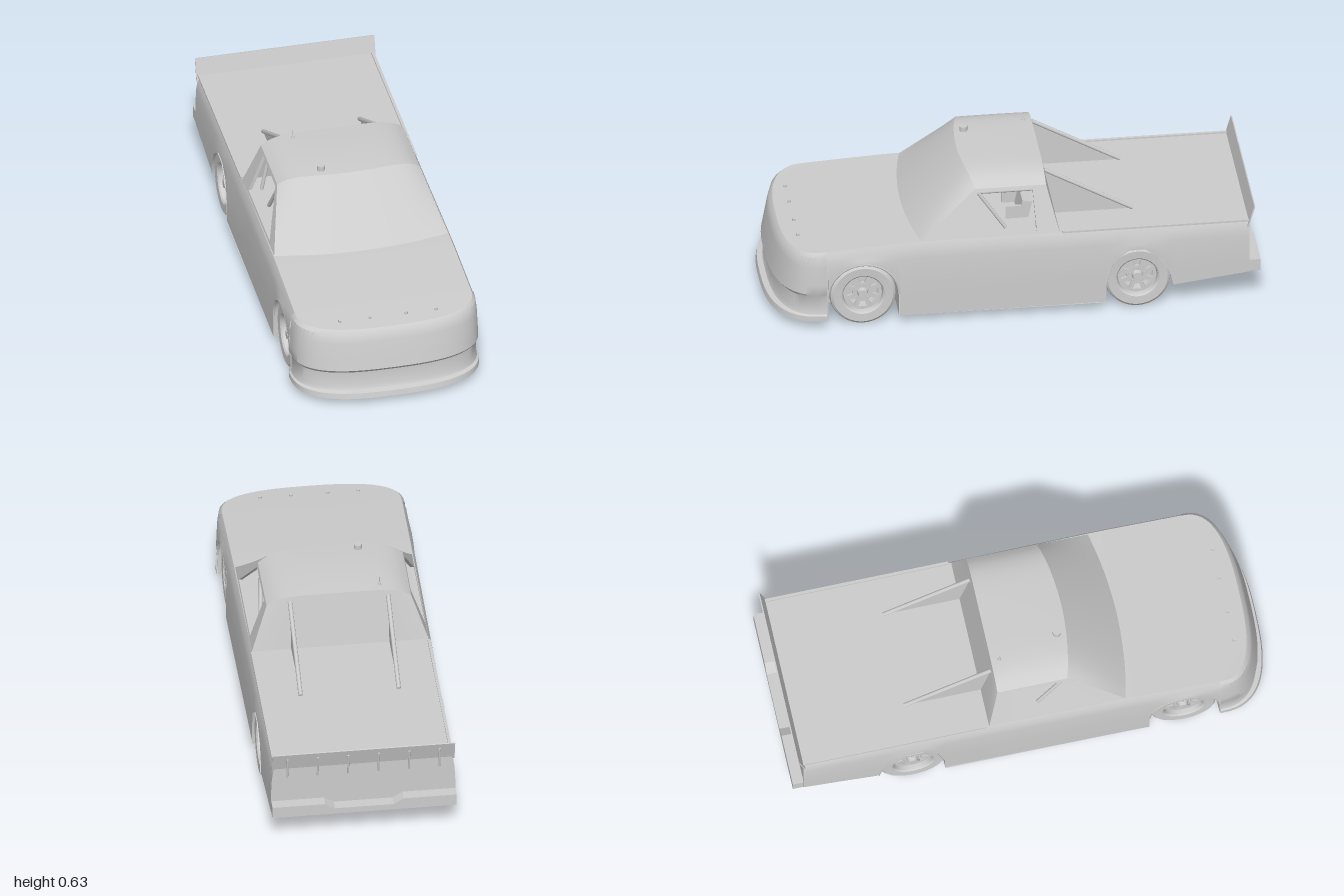
import * as THREE from 'three';
import { toCreasedNormals } from 'three/addons/utils/BufferGeometryUtils.js';

const paint = new THREE.MeshStandardMaterial({ color: 0xcccccc, side: THREE.DoubleSide });
paint.name = 'light grey';
const lerp = THREE.MathUtils.lerp;
const range = (n, a = 0, b = 1) => Array.from({ length: n + 1 }, (_, i) => lerp(a, b, i / n));

function add(parent, name, geometry, x = 0, y = 0, z = 0) {
  const mesh = new THREE.Mesh(geometry, paint);
  mesh.name = name;
  mesh.position.set(x, y, z);
  parent.add(mesh);
  return mesh;
}

// Surface through rows of [x, y, z] points
function grid(rows, crease = 0.6) {
  const n = rows[0].length, index = [];
  for (let i = 0; i < rows.length - 1; i++)
    for (let j = 0; j < n - 1; j++) {
      const a = i * n + j, b = a + n;
      index.push(a, b, a + 1, b, b + 1, a + 1);
    }
  const g = new THREE.BufferGeometry();
  g.setAttribute('position', new THREE.Float32BufferAttribute(rows.flat(2), 3));
  g.setIndex(index);
  return toCreasedNormals(g, crease);
}

function bar(parent, name, a, b, r) {
  const A = new THREE.Vector3(...a), B = new THREE.Vector3(...b);
  const m = add(parent, name, new THREE.CylinderGeometry(r, r, A.distanceTo(B), 8));
  m.position.copy(A).lerp(B, 0.5);
  m.quaternion.setFromUnitVectors(new THREE.Vector3(0, 1, 0), B.sub(A).normalize());
}

const polygon = pts => new THREE.Shape(pts.map(p => new THREE.Vector2(...p)));

// Wheel arch outlines as [z, y], from back to front
const NOSE = 0.77;
const rearArch = [[-0.645, 0.098], [-0.635, 0.14], [-0.6, 0.22], [-0.53, 0.272], [-0.46, 0.27], [-0.4, 0.22], [-0.372, 0.12], [-0.37, 0.04]];
const frontArch = range(20, Math.PI, 0).map(a => [0.62 + 0.145 * Math.cos(a), 0.14 + 0.145 * Math.sin(a)]);
frontArch.unshift([0.475, 0.04]);
frontArch.push([0.765, 0.04]);

function buildBody(g) {
  // Side and deck skin, lofted along z
  const stations = [[-0.955, 0.137], ...rearArch, [0, 0.04], [0.4, 0.04], ...frontArch, [NOSE, 0.04]];
  const section = (z, yb) => {
    const w = lerp(0.376, 0.388, (z + 0.955) / 1.725);
    const yt = z < 0.42 ? 0.365 : lerp(0.365, 0.345, (z - 0.42) / 0.35);
    const half = [[w, yb], [w, lerp(yb, 0.3, 0.5)], [w * 0.99, 0.3], [w * 0.975, yt - 0.025], [w * 0.945, yt], [w * 0.5, yt]];
    return [...half, ...half.slice().reverse().map(([x, y]) => [-x, y])].map(([x, y]) => [x, y, z]);
  };
  add(g, 'bodySkin', grid(stations.map(s => section(...s))));

  // Rounded nose: profile rows of [half width, y, front z] swept around the corners
  const profile = [[0.366, 0.33, 0.93], [0.378, 0.316, 0.945], [0.384, 0.28, 0.955], [0.387, 0.2, 0.97], [0.388, 0.16, 0.978],
    [0.38, 0.145, 0.965], [0.38, 0.08, 0.965], [0.383, 0.065, 0.972], [0.39, 0.06, 0.995], [0.39, 0.037, 1]];
  const angles = range(32, -Math.PI / 2, Math.PI / 2);
  const sweep = ([w, y, zf]) => angles.map(a => {
    const s = Math.sin(a), c = Math.max(0, Math.cos(a));
    return [w * Math.sign(s) * Math.abs(s) ** 0.75, y > 0.3 ? y + 0.015 * (1 - c) : y, NOSE + (zf - NOSE) * c ** 0.75];
  });
  add(g, 'noseFascia', grid(profile.map(sweep)));
  const fill = (rim, y) => grid(range(4).map(v => rim.map(p => [p[0], lerp(y, p[1], v), lerp(NOSE, p[2], v)])));
  add(g, 'hoodFront', fill(sweep(profile[0]), 0.345));
  add(g, 'frontSplitter', fill(sweep(profile.at(-1)), 0.037));

  // Floor, with gaps for the wheels
  const floor = (name, pts, w0, w1) => add(g, name, grid(pts.map(([z, y]) => [[w0, y, z], [w1, y, z]])));
  floor('centreFloor', [[NOSE, 0.038], [-0.37, 0.038], [-0.645, 0.098], [-0.955, 0.137]], -0.24, 0.24);
  for (const s of [-1, 1]) {
    floor('sideFloor', [[0.475, 0.039], [-0.37, 0.039]], s * 0.24, s * 0.384);
    floor('rearFloor', [[-0.645, 0.098], [-0.955, 0.137]], s * 0.24, s * 0.377);
    // Wheel wells
    for (const arch of [rearArch, frontArch]) {
      add(g, 'wheelWell', grid(arch.map(([z, y]) => [[s * 0.24, y, z], [s * 0.383, y, z]])));
      add(g, 'wheelWellWall', grid(arch.map(([z, y]) => [[s * 0.24, 0.038, z], [s * 0.24, y, z]])));
    }
    // Raised lip around the front arch
    const lip = new THREE.CatmullRomCurve3(frontArch.slice(1, -1).map(([z, y]) => new THREE.Vector3(s * 0.384, y, z)));
    add(g, 'archLip', new THREE.TubeGeometry(lip, 24, 0.005, 6));
    // Bed rail
    add(g, 'bedRail', new THREE.BoxGeometry(0.012, 0.008, 0.76), s * 0.36, 0.367, -0.575);
  }
  // Tailgate and rear bumper with a dipped centre
  const tail = section(-0.955, 0.137).map(([x, y]) => [x, y]);
  add(g, 'tailgate', new THREE.ShapeGeometry(polygon(tail)), 0, 0, -0.955);
  const bumper = polygon([[-0.375, 0.138], [0.375, 0.138], [0.375, 0.19], [0.16, 0.19], [0.12, 0.165], [-0.12, 0.165], [-0.16, 0.19], [-0.375, 0.19]]);
  add(g, 'rearBumper', new THREE.ExtrudeGeometry(bumper, { depth: 0.045, bevelEnabled: false }), 0, 0, -1);
  // Spoiler and its braces
  const spoiler = add(g, 'spoiler', new THREE.BoxGeometry(0.745, 0.1, 0.005), 0, 0.388, -0.963);
  spoiler.rotation.x = -0.28;
  for (const x of range(5, -0.31, 0.31)) bar(g, 'spoilerBrace', [x, 0.31, -0.959], [x, 0.41, -0.975], 0.004);
  // Hood pins
  for (const x of [-0.2, -0.075, 0.075, 0.2]) add(g, 'hoodPin', new THREE.CylinderGeometry(0.007, 0.007, 0.01, 10), x, 0.34, 0.865);
}

function buildCab(g) {
  const us = range(28, -1, 1), edge = u => 0.595 - 0.04 * u ** 6;
  // Windscreen, roof and back panel
  add(g, 'windscreen', grid(range(6).map(v => us.map(u =>
    [u * lerp(0.362, 0.295, v), lerp(0.358, edge(u), v), lerp(0.43, 0.195, v) - 0.04 * u * u]))));
  add(g, 'roof', grid(range(8).map(v => us.map(u =>
    [u * 0.295, edge(u) + 0.006 * Math.sin(Math.PI * v) * (1 - u * u), lerp(0.195 - 0.04 * u * u, -0.135, v)]))));
  add(g, 'backPanel', grid(range(6).map(v => us.map(u =>
    [u * lerp(0.295, 0.362, v), lerp(edge(u), 0.36, v), lerp(-0.135, -0.185, v)]))));

  for (const s of [-1, 1]) {
    // Side frame with an open window, leaning inwards
    const frame = polygon([[0.39, 0.358], [0.155, 0.555], [-0.135, 0.555], [-0.185, 0.358]]);
    frame.holes.push(polygon([[0.285, 0.375], [0.145, 0.54], [-0.08, 0.543], [-0.09, 0.375]]));
    const side = new THREE.ExtrudeGeometry(frame, { depth: 0.015, bevelEnabled: false });
    const p = side.attributes.position;
    for (let i = 0; i < p.count; i++) {
      const z = p.getX(i), y = p.getY(i);
      p.setXYZ(i, s * (lerp(0.362, 0.295, (y - 0.36) / 0.195) - p.getZ(i)), y, z);
    }
    side.computeVertexNormals();
    add(g, 'cabSide', side);
    // Roll cage
    bar(g, 'cageDoorBar', [s * 0.285, 0.53, 0.14], [s * 0.3, 0.37, 0.03], 0.008);
    bar(g, 'cageRoofBar', [s * 0.27, 0.525, 0.16], [s * 0.27, 0.525, -0.1], 0.008);
    bar(g, 'cagePost', [s * 0.27, 0.525, -0.1], [s * 0.3, 0.365, -0.1], 0.008);
    // Fin and strut behind the cab
    const fin = polygon([[-0.14, 0.57], [-0.5, 0.366], [-0.17, 0.366]]);
    const plate = add(g, 'rearFin', new THREE.ShapeGeometry(fin), s * 0.2);
    plate.rotation.y = -Math.PI / 2;
    bar(g, 'rearStrut', [s * 0.2, 0.57, -0.14], [s * 0.2, 0.368, -0.5], 0.009);
  }
  bar(g, 'cageCrossBar', [-0.27, 0.525, -0.1], [0.27, 0.525, -0.1], 0.008);
  // Driver's seat
  add(g, 'seatBack', new THREE.BoxGeometry(0.14, 0.08, 0.04), 0.15, 0.4, -0.06).rotation.x = -0.2;
  for (const x of [0.085, 0.215]) add(g, 'seatWing', new THREE.BoxGeometry(0.012, 0.06, 0.08), x, 0.39, -0.02);
  // Roof vent and aerial
  add(g, 'roofVent', new THREE.CylinderGeometry(0.016, 0.016, 0.025, 16), -0.112, 0.605, 0.15);
  add(g, 'aerialBase', new THREE.CylinderGeometry(0.004, 0.008, 0.012, 8), -0.17, 0.6, -0.1);
  add(g, 'aerial', new THREE.CylinderGeometry(0.001, 0.001, 0.035, 5), -0.17, 0.615, -0.1);
}

function buildWheel(parent, side, z) {
  const w = new THREE.Group();
  w.name = z > 0 ? 'frontWheel' : 'rearWheel';
  const turn = g => g.rotateZ(-Math.PI / 2);
  const tyre = [[0.08, -0.06], [0.122, -0.062], [0.132, -0.054], [0.136, -0.04], [0.136, 0.04], [0.132, 0.054], [0.122, 0.062],
    [0.088, 0.06], [0.082, 0.054], [0.078, 0.03], [0.076, -0.06]].map(p => new THREE.Vector2(...p));
  add(w, 'tyre', toCreasedNormals(turn(new THREE.LatheGeometry(tyre, 40)), 0.6));
  // Rim with eight openings
  const disc = new THREE.Shape().absarc(0, 0, 0.079, 0, Math.PI * 2);
  for (let i = 0; i < 8; i++) {
    const a = i * Math.PI / 4, at = (r, d) => [r * Math.cos(a + d), r * Math.sin(a + d)];
    disc.holes.push(polygon([at(0.042, -0.2), at(0.068, -0.26), at(0.068, 0.26), at(0.042, 0.2)]));
  }
  const rim = new THREE.ExtrudeGeometry(disc, { depth: 0.012, bevelEnabled: false, curveSegments: 32 });
  add(w, 'rim', rim.rotateY(Math.PI / 2), 0.024);
  add(w, 'hub', turn(new THREE.CylinderGeometry(0.018, 0.024, 0.025, 16)), 0.042);
  add(w, 'brakeDisc', turn(new THREE.CylinderGeometry(0.074, 0.074, 0.01, 24)), -0.035);
  for (let i = 0; i < 5; i++) {
    const a = i * Math.PI * 0.4;
    add(w, 'wheelNut', turn(new THREE.CylinderGeometry(0.005, 0.005, 0.012, 6)), 0.038, 0.031 * Math.cos(a), 0.031 * Math.sin(a));
  }
  w.position.set(side * 0.311, 0.138, z);
  if (side < 0) w.rotation.y = Math.PI;
  parent.add(w);
}

export function createModel() {
  const model = new THREE.Group();
  model.name = 'racingPickup';
  const body = new THREE.Group(), cab = new THREE.Group();
  body.name = 'body';
  cab.name = 'cab';
  buildBody(body);
  buildCab(cab);
  model.add(body, cab);
  for (const s of [-1, 1]) for (const z of [0.62, -0.5]) buildWheel(model, s, z);
  return model;
}
